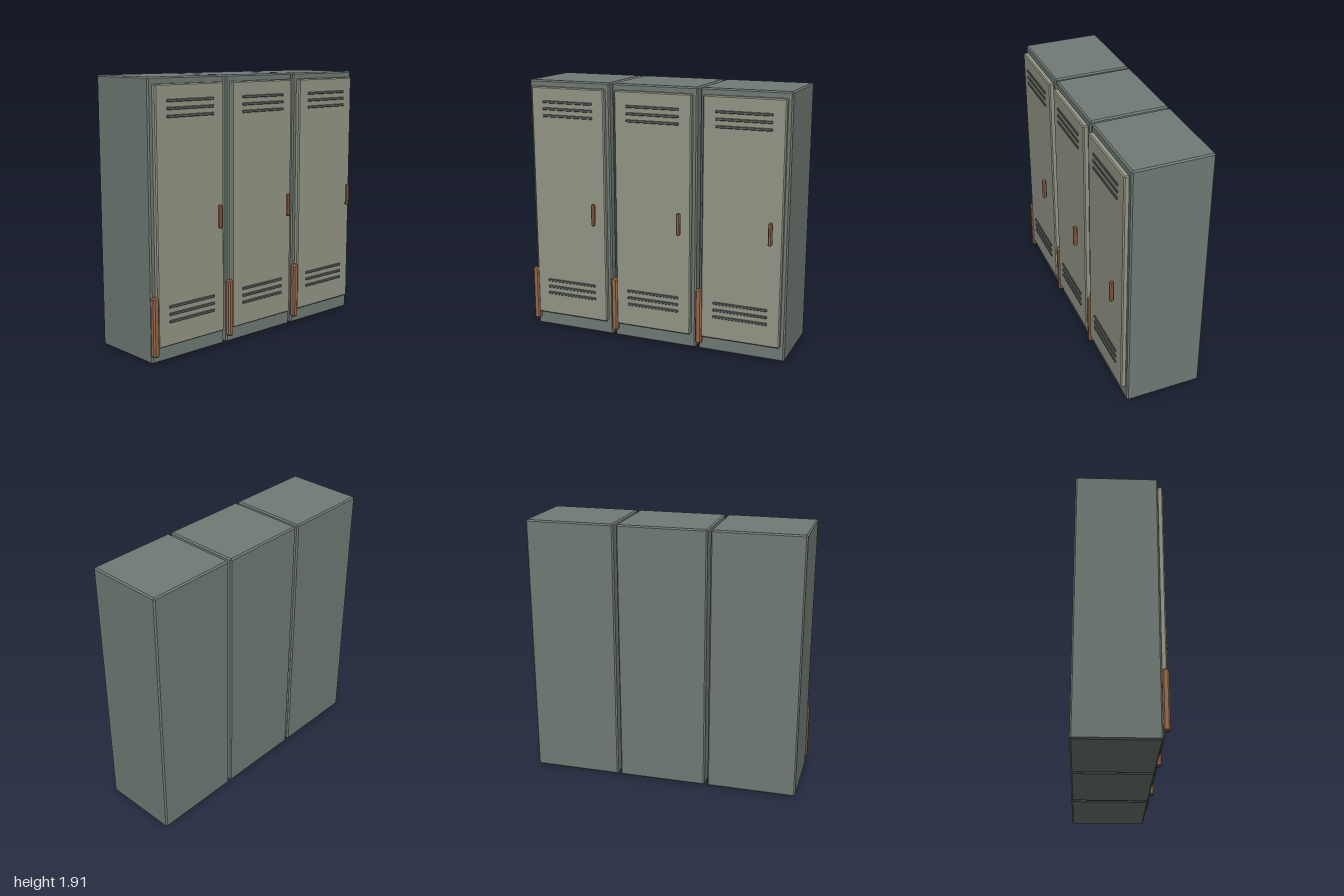
import * as THREE from 'three';
import { ConvexGeometry } from 'three/addons/geometries/ConvexGeometry.js';

const paint = (color) => new THREE.MeshStandardMaterial({ color, flatShading: true });

// Box with every edge chamfered by c, given as min and max corners
function chamferBox(name, min, max, c, material) {
  const half = min.map((v, i) => (max[i] - v) / 2);
  const points = [];
  for (const sx of [-1, 1]) for (const sy of [-1, 1]) for (const sz of [-1, 1]) {
    for (let axis = 0; axis < 3; axis++) {
      const p = half.map((h, i) => (i === axis ? h : h - c));
      points.push(new THREE.Vector3(sx * p[0], sy * p[1], sz * p[2]));
    }
  }
  const mesh = new THREE.Mesh(new ConvexGeometry(points), material);
  mesh.name = name;
  mesh.position.set(...min.map((v, i) => (v + max[i]) / 2));
  return mesh;
}

export function createModel() {
  const bodyPaint = paint(0x707a74);
  const doorPaint = paint(0x949687);
  const slatPaint = paint(0x5c6560);
  const copper = paint(0x96694c);

  function makeLocker() {
    const locker = new THREE.Group();
    locker.name = 'locker';

    // Cabinet and raised door
    locker.add(chamferBox('cabinet', [-0.324, 0, -0.33], [0.324, 1.91, 0.235], 0.01, bodyPaint));
    locker.add(chamferBox('door', [-0.293, 0.11, 0.23], [0.293, 1.865, 0.271], 0.008, doorPaint));

    // Ventilation slats, three near the top and three near the bottom
    for (const y of [1.757, 1.706, 1.655, 0.384, 0.332, 0.281]) {
      locker.add(chamferBox('ventSlat', [-0.2, y - 0.009, 0.262], [0.2, y + 0.009, 0.28], 0.003, slatPaint));
    }

    // Pull handle standing off the door
    locker.add(chamferBox('handle', [0.204, 0.868, 0.302], [0.232, 1.034, 0.332], 0.008, copper));

    // Upright hinge bar at the lower corner
    locker.add(chamferBox('hingeBar', [-0.335, 0.055, 0.234], [-0.288, 0.468, 0.279], 0.01, copper));
    return locker;
  }

  const model = new THREE.Group();
  model.name = 'lockerRow';
  for (let i = -1; i <= 1; i++) {
    const locker = makeLocker();
    locker.position.x = 0.004 + i * 0.669;
    model.add(locker);
  }
  return model;
}
